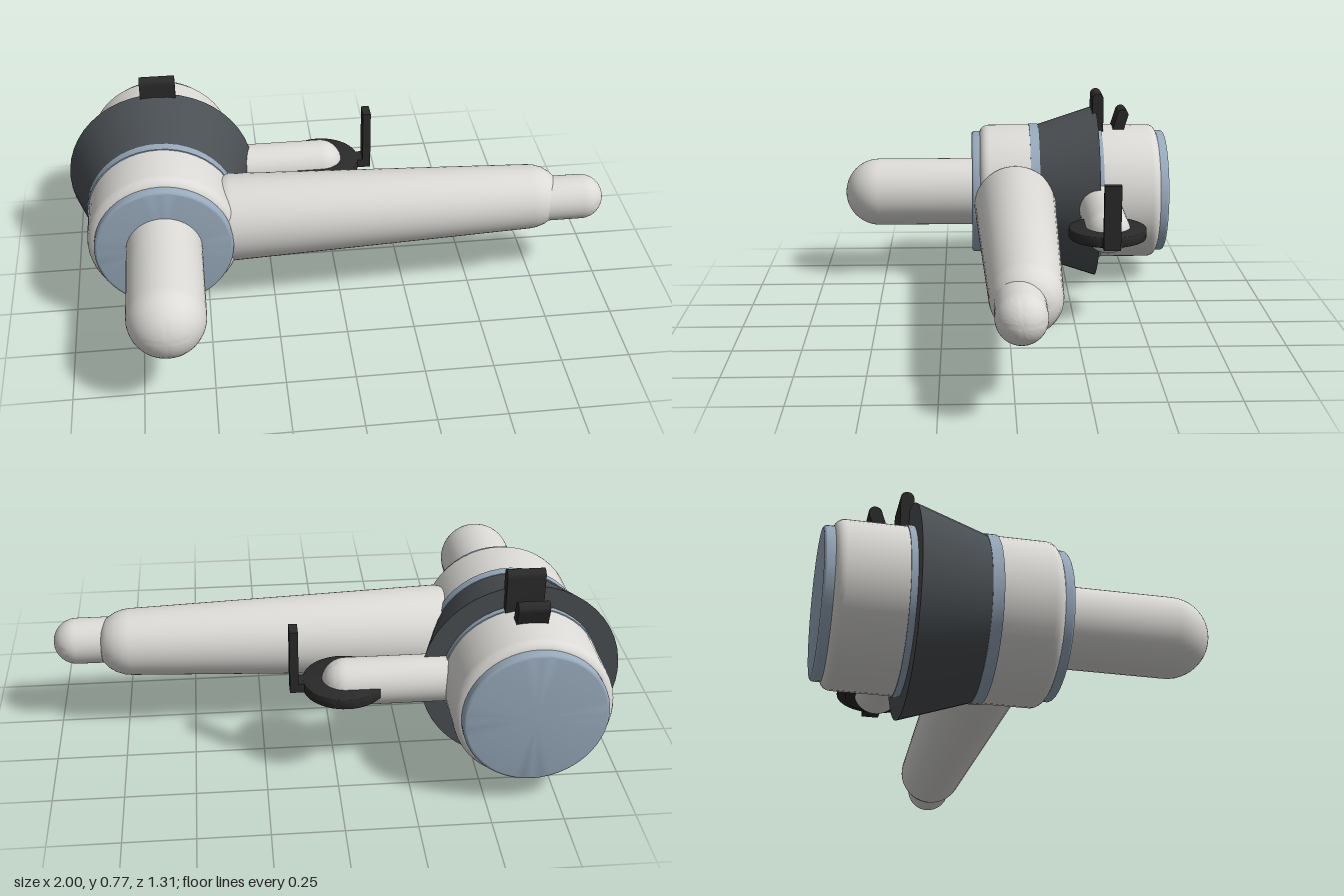
import * as THREE from 'three';
import { toCreasedNormals } from 'three/addons/utils/BufferGeometryUtils.js';

const mat = (name, color) => {
  const m = new THREE.MeshStandardMaterial({ color });
  m.name = name;
  return m;
};

export function createModel() {
  const model = new THREE.Group();
  model.name = 'model';
  const white = mat('warm white', 0xdcdbd7);
  const blue = mat('grey blue', 0x98aabc);
  const slate = mat('dark slate', 0x4a4f53);
  const black = mat('black', 0x2a2a2b);

  const CX = -0.65, CY = 0.352;

  function add(name, geometry, material, x = 0, y = 0, z = 0) {
    const mesh = new THREE.Mesh(geometry, material);
    mesh.name = name;
    mesh.position.set(x, y, z);
    model.add(mesh);
    return mesh;
  }

  // Turned part: profile is [radius, position along axis], in rising order
  function turned(profile, axis, segments = 48) {
    const pts = profile.map(([r, t]) => new THREE.Vector2(r, t));
    const g = new THREE.LatheGeometry(pts, segments);
    if (axis === 'z') g.rotateX(Math.PI / 2);
    if (axis === 'x') g.rotateZ(-Math.PI / 2);
    return toCreasedNormals(g, 0.55);
  }

  // Drum profile with rounded rims of size b0 (start) and b1 (end)
  function drum(r, t0, t1, b0, b1) {
    const p = [[0, t0]];
    const arc = (t, b, sign, steps) => steps.forEach((i) => {
      const a = (i / 5) * Math.PI / 2;
      p.push([r - b + b * Math.sin(a), t + sign * b * (1 - Math.cos(a))]);
    });
    if (b0) arc(t0, b0, 1, [0, 1, 2, 3, 4, 5]); else p.push([r, t0]);
    if (b1) arc(t1, b1, -1, [5, 4, 3, 2, 1, 0]); else p.push([r, t1]);
    p.push([0, t1]);
    return p;
  }

  // Rod with a hemispherical tip at t1
  function rod(r, t0, t1) {
    const p = [[0, t0], [r, t0]];
    for (let i = 0; i <= 12; i++) {
      const a = (i / 12) * Math.PI / 2;
      p.push([i === 12 ? 0 : r * Math.cos(a), t1 - r + r * Math.sin(a)]);
    }
    return p;
  }

  // Main body, stacked along z
  const body = [
    ['rearCap', drum(0.25, -0.655, -0.6, 0.012, 0), blue],
    ['rearDrum', drum(0.275, -0.622, -0.39, 0.035, 0), white],
    ['rearBand', drum(0.279, -0.392, -0.36, 0, 0), blue],
    ['flaredCollar', [[0, -0.37], [0.352, -0.37], [0.276, -0.135], [0, -0.135]], slate],
    ['frontBand', drum(0.279, -0.137, -0.1, 0, 0), blue],
    ['frontDrum', drum(0.275, -0.102, 0.105, 0, 0.04), white],
    ['frontCap', drum(0.25, 0.09, 0.135, 0, 0.012), blue],
    ['frontRod', rod(0.137, 0.1, 0.655), white],
  ];
  for (const [name, profile, material] of body) {
    add(name, turned(profile, 'z'), material, CX, CY, 0);
  }

  // Long tapered arm with a smaller rounded tip
  add('longArm', turned([
    [0, -0.47], [0.11, -0.47], [0.135, -0.46], [0.153, -0.44], [0.162, -0.4],
    [0.122, 0.72], [0.119, 0.745], [0.109, 0.775], [0.092, 0.802],
    [0.07, 0.822], [0.04, 0.832], [0, 0.835],
  ], 'x'), white, 0, CY + 0.003, -0.037);
  add('longArmTip', turned(rod(0.084, 0.7, 1), 'x'), white, 0, CY + 0.003, -0.015);

  // Short arm through a dark disc carrying an upright post
  add('shortArm', turned(rod(0.084, -0.5, 0.05), 'x'), white, 0, CY + 0.003, -0.372);
  add('disc', turned(drum(0.145, 0.332, 0.371, 0.004, 0.004), 'y'), black, -0.03, 0, -0.37);
  add('discHub', turned(drum(0.115, 0.324, 0.34, 0, 0), 'y'), black, -0.03, 0, -0.37);
  add('postFoot', new THREE.BoxGeometry(0.08, 0.034, 0.062), black, 0.12, 0.353, -0.37);
  add('post', new THREE.BoxGeometry(0.03, 0.24, 0.062), black, 0.146, 0.456, -0.37);

  // Upright tab with a rounded top, extruded across x; origin at its top
  function tab(name, width, thickness, height, x, y, z, tilt) {
    const r = thickness / 2;
    const s = new THREE.Shape();
    s.moveTo(-r, -height);
    s.lineTo(r, -height);
    s.lineTo(r, -r);
    s.absarc(0, -r, r, 0, Math.PI, false);
    s.lineTo(-r, -height);
    const g = new THREE.ExtrudeGeometry(s, { depth: width, bevelEnabled: false, curveSegments: 12 });
    g.translate(0, 0, -width / 2);
    g.rotateY(Math.PI / 2);
    add(name, toCreasedNormals(g, 0.5), black, x, y, z).rotation.x = tilt;
  }
  tab('frontSight', 0.132, 0.045, 0.17, -0.642, 0.772, -0.377, 0);
  tab('rearSight', 0.108, 0.044, 0.12, -0.651, 0.702, -0.488, -0.3);

  return model;
}
